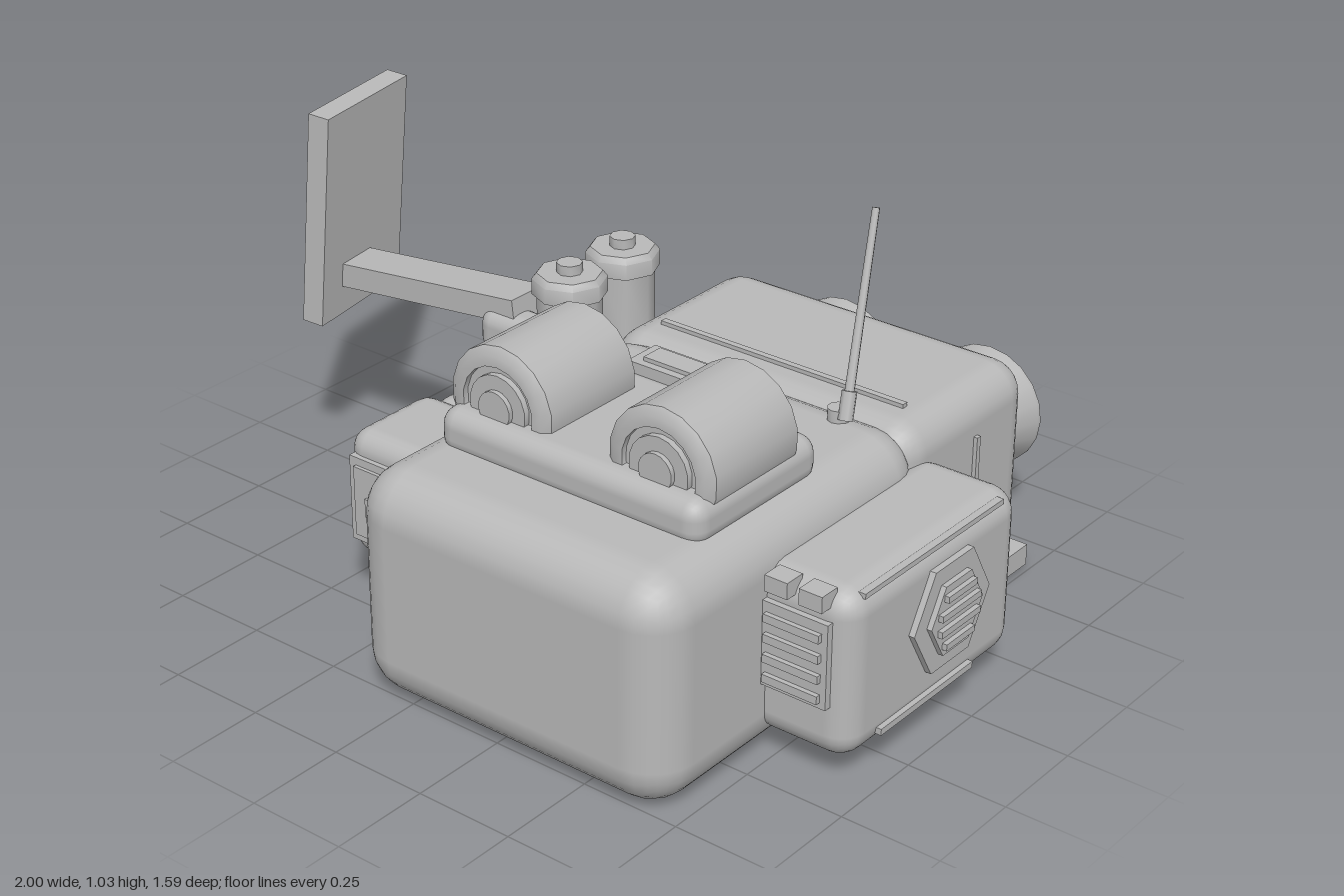
import * as THREE from 'three';
import { RoundedBoxGeometry } from 'three/addons/geometries/RoundedBoxGeometry.js';
import { toCreasedNormals } from 'three/addons/utils/BufferGeometryUtils.js';

export function createModel() {
  const model = new THREE.Group();
  const grey = new THREE.MeshStandardMaterial({ color: 0xb8b8b8 });
  grey.name = 'grey shell';
  const greyOpen = new THREE.MeshStandardMaterial({ color: 0xb8b8b8, side: THREE.DoubleSide });
  greyOpen.name = 'grey thin shell';

  const add = (name, geometry, material = grey) => {
    const mesh = new THREE.Mesh(geometry, material);
    mesh.name = name;
    model.add(mesh);
    return mesh;
  };
  // Boxes are given by their lower and upper limits on x, y and z
  const place = (m, x0, x1, y0, y1, z0, z1) => {
    m.position.set((x0 + x1) / 2, (y0 + y1) / 2, (z0 + z1) / 2);
    return m;
  };
  const box = (name, x0, x1, y0, y1, z0, z1) =>
    place(add(name, new THREE.BoxGeometry(x1 - x0, y1 - y0, z1 - z0)), x0, x1, y0, y1, z0, z1);
  const rounded = (name, r, x0, x1, y0, y1, z0, z1) =>
    place(add(name, new RoundedBoxGeometry(x1 - x0, y1 - y0, z1 - z0, 3, r)), x0, x1, y0, y1, z0, z1);
  // Turned part from [radius, height] points, standing along y
  const turned = (name, pts, sides, x, y, z, material) => {
    const lathe = new THREE.LatheGeometry(pts.map(p => new THREE.Vector2(p[0], p[1])), sides);
    const m = add(name, toCreasedNormals(lathe, 0.9), material);
    m.position.set(x, y, z);
    return m;
  };
  // Rod between two points
  const rod = (name, a, b, r0, r1) => {
    const d = b.clone().sub(a);
    const m = add(name, new THREE.CylinderGeometry(r1, r0, d.length(), 8));
    m.position.copy(a).addScaledVector(d, 0.5);
    m.quaternion.setFromUnitVectors(new THREE.Vector3(0, 1, 0), d.normalize());
    return m;
  };

  // Body
  rounded('frontBody', 0.115, -0.15, 0.74, 0, 0.57, -0.18, 0.79);
  rounded('rearBody', 0.085, -0.15, 0.73, 0.05, 0.57, -0.625, -0.1);
  box('basePlate', -0.157, 0.74, 0.01, 0.065, -0.635, -0.15);
  box('rearTopStrip', -0.06, 0.64, 0.56, 0.58, -0.23, -0.213);
  box('rearSideStrip', 0.72, 0.74, 0.17, 0.46, -0.392, -0.378);

  // Rear nozzles
  for (const x of [0.075, 0.505]) {
    const flange = turned('nozzleFlange', [[0, 0], [0.17, 0], [0.17, 0.025], [0, 0.025]], 20, x, 0.31, -0.615);
    flange.rotation.x = -Math.PI / 2;
    const nozzle = turned('nozzle', [
      [0.15, 0], [0.122, 0.06], [0.125, 0.085], [0.155, 0.15], [0.155, 0.162],
      [0.14, 0.162], [0.105, 0.085], [0.1, 0.03], [0, 0.03]
    ], 20, x, 0.31, -0.633, greyOpen);
    nozzle.rotation.x = -Math.PI / 2;
  }

  // Lamp deck and two stepped lamps
  rounded('lampDeck', 0.045, -0.075, 0.66, 0.54, 0.655, 0.13, 0.57);
  for (const x of [0.065, 0.515]) {
    const lamp = turned('lamp', [
      [0, 0], [0.145, 0], [0.145, 0.285], [0.125, 0.3], [0.1, 0.3], [0.1, 0.285],
      [0.08, 0.285], [0.08, 0.3], [0.045, 0.3], [0.045, 0.312], [0, 0.312]
    ], 18, x, 0.675, 0.22);
    lamp.rotation.x = Math.PI / 2;
  }
  box('deckBlockBase', 0.17, 0.41, 0.55, 0.65, 0.075, 0.15);
  box('deckBlock', 0.14, 0.44, 0.645, 0.68, 0.06, 0.16);
  box('deckBlockLid', 0.17, 0.41, 0.675, 0.69, 0.08, 0.14);

  // Antenna
  const foot = new THREE.Vector3(0.583, 0.58, -0.068);
  const tip = new THREE.Vector3(0.532, 1.03, -0.232);
  rod('antenna', foot, tip, 0.012, 0.009);
  rod('antennaSleeve', foot, foot.clone().lerp(tip, 0.14), 0.018, 0.018);
  turned('antennaMount', [[0, 0], [0.026, 0], [0.026, 0.05], [0, 0.05]], 10, 0.555, 0.55, -0.08);

  // Left pod
  rounded('leftPod', 0.065, 0.68, 0.96, 0.06, 0.48, -0.23, 0.43);
  box('podUpperStrip', 0.94, 0.968, 0.455, 0.468, -0.16, 0.37).position.x = 0.937;
  box('podLowerStrip', 0.94, 0.972, 0.1, 0.116, -0.035, 0.32);
  for (const [r, x] of [[0.147, 0.975], [0.1, 0.988]]) {
    const hex = add('hexPlate', new THREE.CylinderGeometry(r, r, 0.03, 6).toNonIndexed());
    hex.geometry.computeVertexNormals();
    hex.rotation.z = -Math.PI / 2;
    hex.position.set(x - 0.015, 0.295, 0.065);
  }
  for (let i = 0; i < 4; i++) {
    const y = 0.235 + i * 0.04;
    const half = i === 0 || i === 3 ? 0.055 : 0.075;
    box('hexSlat', 0.98, 1.0, y - 0.008, y + 0.008, 0.065 - half, 0.065 + half);
    const v = 0.225 + i * 0.05;
    box('frontVentSlat', 0.75, 0.895, v - 0.01, v + 0.01, 0.43, 0.457);
  }
  box('frontVentPanel', 0.73, 0.91, 0.2, 0.41, 0.42, 0.445);
  for (const x of [0.75, 0.84]) box('frontLug', x, x + 0.06, 0.44, 0.48, 0.4, 0.455);

  // Right pod, front and rear housings
  rounded('rightFrontHousing', 0.05, -0.43, -0.12, 0.13, 0.455, 0.22, 0.5);
  box('facePlate', -0.405, -0.165, 0.18, 0.4, 0.49, 0.513);
  box('faceInset', -0.385, -0.185, 0.2, 0.38, 0.5, 0.522);
  box('faceSlot', -0.345, -0.23, 0.262, 0.31, 0.51, 0.53);
  rounded('rightRearHousing', 0.045, -0.39, -0.1, 0.1, 0.45, -0.44, 0.26);
  box('housingFoot', -0.355, -0.225, 0.04, 0.15, 0.17, 0.33);
  box('sideGrillePanel', -0.402, -0.38, 0.17, 0.37, -0.36, -0.13);
  for (let i = 0; i < 5; i++) {
    const y = 0.2 + i * 0.035;
    box('sideGrilleSlat', -0.41, -0.39, y - 0.008, y + 0.008, -0.34, -0.15);
  }
  box('sideButton', -0.41, -0.38, 0.33, 0.39, -0.42, -0.375);

  // Canisters
  for (const z of [-0.3, -0.1]) {
    turned('canister', [
      [0, 0], [0.09, 0], [0.09, 0.03], [0.08, 0.03], [0.08, 0.2], [0.092, 0.2], [0.092, 0.24],
      [0.08, 0.255], [0.032, 0.255], [0.032, 0.28], [0, 0.28]
    ], 8, -0.25, 0.44, z);
  }

  // Arm and paddle
  rounded('armShoulder', 0.04, -0.43, -0.26, 0.48, 0.595, -0.06, 0.04);
  const arm = add('arm', new THREE.BoxGeometry(0.59, 0.062, 0.12));
  arm.position.set(-0.62, 0.572, -0.04);
  arm.rotation.z = 0.115;
  const paddle = add('paddle', new THREE.BoxGeometry(0.058, 0.565, 0.345));
  paddle.position.set(-0.923, 0.715, -0.065);
  paddle.rotation.set(0, 0.17, -0.085);

  return model;
}
